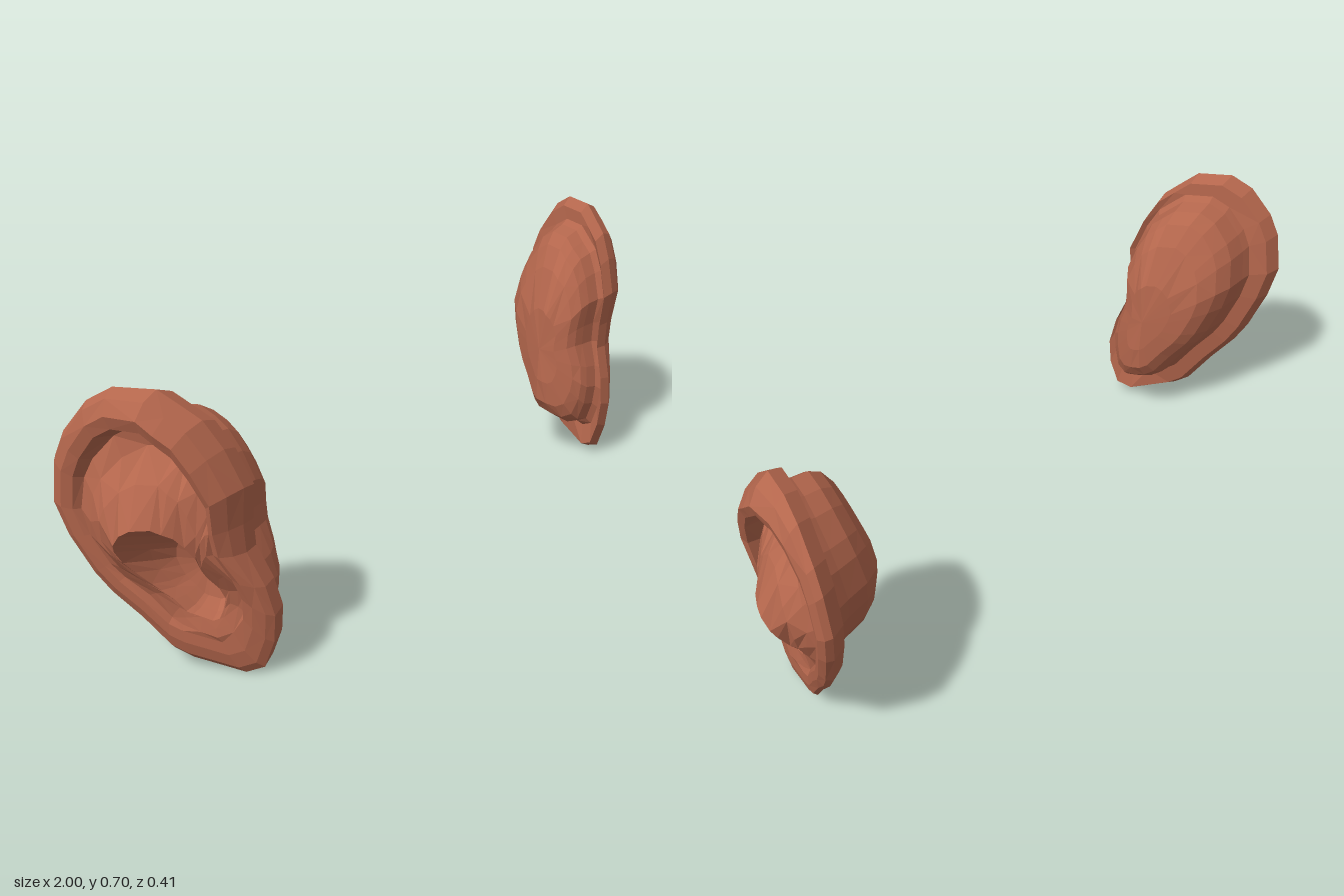
import * as THREE from 'three';

// Ear outline as [z, y], from the top, round the back, lobe and front
const outline = [
  [0.03, 0.7], [-0.055, 0.7], [-0.11, 0.665], [-0.165, 0.59], [-0.19, 0.53], [-0.205, 0.425],
  [-0.185, 0.34], [-0.145, 0.24], [-0.115, 0.19], [-0.06, 0.125], [-0.005, 0.05], [0.03, 0.03],
  [0.085, 0.015], [0.135, 0.001], [0.175, 0.02], [0.2, 0.09], [0.208, 0.16], [0.195, 0.235],
  [0.165, 0.32], [0.165, 0.39], [0.175, 0.48], [0.145, 0.57], [0.11, 0.635], [0.07, 0.668],
];
const CENTRE = [0.01, 0.36];

// Tilted plane in which the ear lies
const plane = (z, y) => 0.845 - 0.5 * z + 0.095 * y;
const clamp = (v) => Math.min(1, Math.max(0, v));
const bump = (z, y, cz, cy, rz, ry) => Math.exp(-(((z - cz) / rz) ** 2) - ((y - cy) / ry) ** 2);

// Folds inside the rim, as heights above the plane
const folds = (z, y) => -0.015
  + 0.125 * bump(z, y, 0.005, 0.38, 0.12, 0.13)  // inner ridge
  - 0.06 * bump(z, y, 0.03, 0.57, 0.08, 0.05)    // upper hollow
  + 0.03 * bump(z, y, 0.135, 0.32, 0.04, 0.08)   // flap in front of the bowl
  + 0.035 * bump(z, y, 0.09, 0.08, 0.12, 0.08);  // lobe

// Raised rim, tallest at the upper front and fading out towards the lobe
const rim = (k) => (z, y) => k * (0.015 + 0.013 * clamp((y - 0.12) / 0.2)
  + 0.045 * clamp((z + 0.13) / 0.2) * clamp((y - 0.2) / 0.3));

// Cup depth behind the plane, shallower near its top and front
const depth = (d) => (z, y) =>
  -d * (1 - 0.25 * clamp((y - 0.43) / 0.2)) * (1 - 0.4 * clamp((z - 0.05) / 0.1));

// A ring of the outline scaled about the shifted centre, with its height off the plane
function ring(scale, dz, dy, height) {
  return outline.map(([oz, oy]) => {
    const z = CENTRE[0] + (oz - CENTRE[0]) * scale + dz;
    const y = CENTRE[1] + (oy - CENTRE[1]) * scale + dy;
    return [plane(z, y) + height(z, y), y, z];
  });
}

// Skin successive rings with faces; side -1 mirrors the part
function skin(rings, side, material, name) {
  const pos = [];
  const n = outline.length;
  const tri = (a, b, c) => {
    for (const p of side > 0 ? [a, b, c] : [a, c, b]) pos.push(p[0] * side, p[1], p[2]);
  };
  for (let r = 0; r < rings.length - 1; r++) {
    const a = rings[r], b = rings[r + 1];
    for (let i = 0; i < n; i++) {
      const j = (i + 1) % n;
      if ((i + r) % 2) {
        tri(a[j], a[i], b[i]);
        tri(a[j], b[i], b[j]);
      } else {
        tri(a[j], a[i], b[j]);
        tri(a[i], b[i], b[j]);
      }
    }
  }
  const geometry = new THREE.BufferGeometry();
  geometry.setAttribute('position', new THREE.Float32BufferAttribute(pos, 3));
  geometry.computeVertexNormals();
  const mesh = new THREE.Mesh(geometry, material);
  mesh.name = name;
  return mesh;
}

export function createModel() {
  const skinTone = new THREE.MeshStandardMaterial({ color: 0xb5674d, flatShading: true });
  skinTone.name = 'skin';

  const edge = ring(1, 0, 0, () => -0.005);

  // Rim, folds, then the bowl, whose rings close in on its own centre
  const front = [
    edge,
    ring(0.95, 0, 0, rim(0.55)),
    ring(0.85, 0, 0, rim(1)),
    ring(0.76, 0, 0, rim(0.85)),
    ring(0.72, 0, 0, folds),
    ring(0.62, 0.008, -0.015, folds),
    ring(0.5, 0.016, -0.04, folds),
    ring(0.38, 0.028, -0.085, folds),
    ring(0.31, 0.03, -0.1, (z, y) => 0.4 * folds(z, y) - 0.025),
    ring(0.24, 0.032, -0.105, () => -0.05),
    ring(0.12, 0.032, -0.105, () => -0.065),
    ring(0, 0.032, -0.105, () => -0.07),
  ];

  // Cup behind the ear: [scale, z shift, y shift, depth]
  const back = [
    [0, 0.03, -0.03, 0.23], [0.3, 0.025, -0.02, 0.228], [0.55, 0.018, 0, 0.22],
    [0.68, 0.012, 0.01, 0.195], [0.75, 0.008, 0.012, 0.155], [0.78, 0.01, 0.012, 0.09],
    [0.82, 0.015, 0.01, 0.06],
  ].map(([s, dz, dy, d]) => ring(s, dz, dy, depth(d)));
  back.push(ring(0.95, 0.003, 0, () => -0.045), edge);

  const model = new THREE.Group();
  model.name = 'ears';
  for (const side of [1, -1]) {
    const ear = new THREE.Group();
    ear.name = side > 0 ? 'leftEar' : 'rightEar';
    ear.add(skin(front, side, skinTone, 'earFront'), skin(back, side, skinTone, 'earBack'));
    model.add(ear);
  }
  return model;
}
